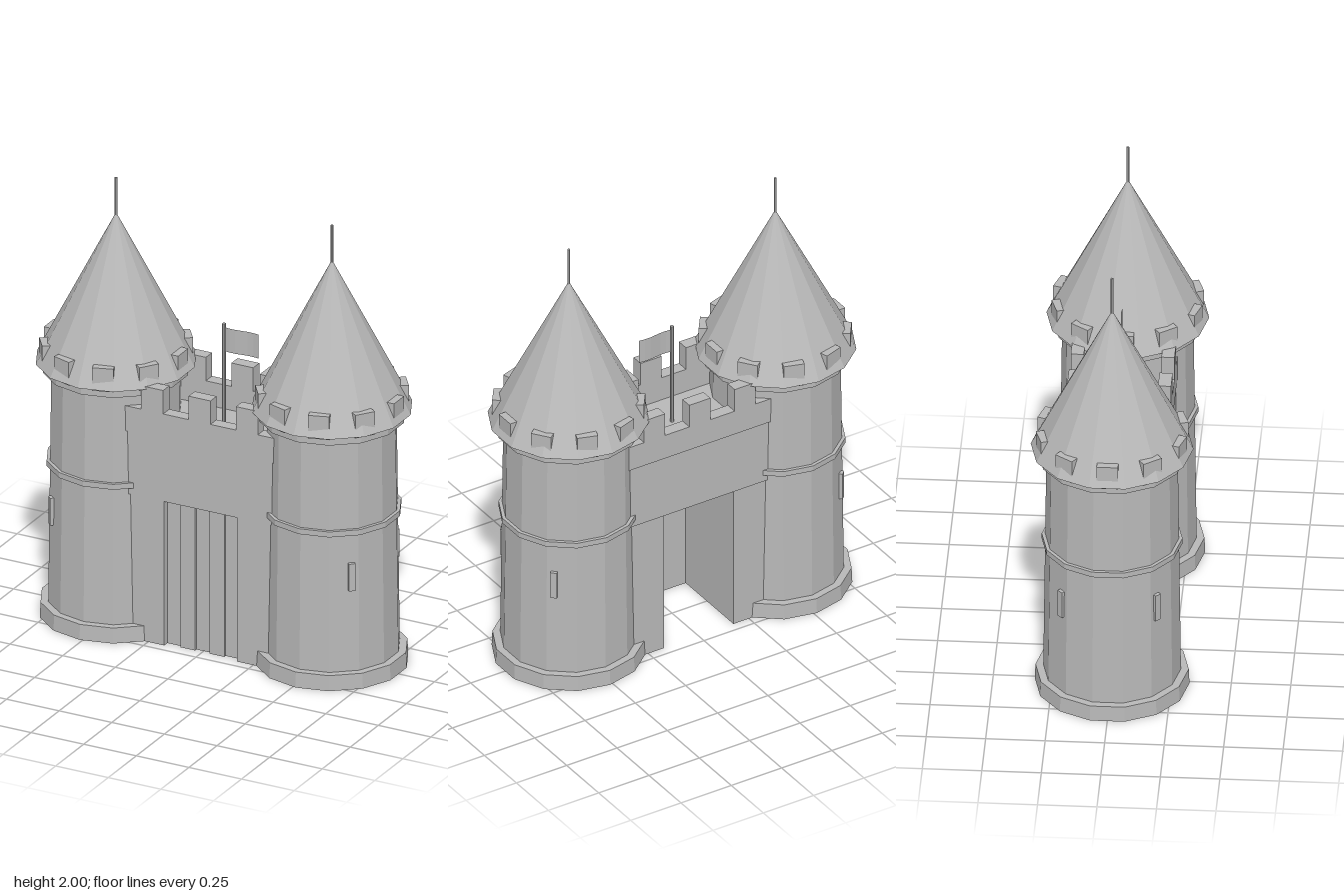
import * as THREE from 'three';

const stone = new THREE.MeshStandardMaterial({ color: 0xb8b8b8, flatShading: true });
stone.name = 'grey stone';
const cloth = stone.clone();
cloth.name = 'grey cloth';
cloth.side = THREE.DoubleSide;

const SIDES = 14;

function add(parent, name, geometry, x = 0, y = 0, z = 0, material = stone) {
  const mesh = new THREE.Mesh(geometry, material);
  mesh.name = name;
  mesh.position.set(x, y, z);
  parent.add(mesh);
  return mesh;
}

// Box given by its extents along each axis
function block(parent, name, x0, x1, y0, y1, z0, z1) {
  return add(parent, name, new THREE.BoxGeometry(x1 - x0, y1 - y0, z1 - z0),
    (x0 + x1) / 2, (y0 + y1) / 2, (z0 + z1) / 2);
}

// Round part standing between two heights
function drum(parent, name, rBottom, rTop, y0, y1, sides = SIDES) {
  return add(parent, name, new THREE.CylinderGeometry(rTop, rBottom, y1 - y0, sides), 0, (y0 + y1) / 2, 0);
}

function buildTower(side) {
  const tower = new THREE.Group();
  tower.name = side > 0 ? 'leftTower' : 'rightTower';
  tower.position.x = side * 0.513;

  drum(tower, 'towerBase', 0.325, 0.322, 0, 0.07);
  drum(tower, 'towerBody', 0.29, 0.276, 0, 1.14);
  drum(tower, 'middleBand', 0.296, 0.296, 0.695, 0.72);
  drum(tower, 'topBand', 0.312, 0.312, 1.125, 1.157);
  drum(tower, 'roof', 0.342, 0, 1.166, 1.84);
  drum(tower, 'spire', 0.006, 0.006, 1.82, 2, 6);

  // Ring of battlements poking through the roof edge
  for (let i = 0; i < 10; i++) {
    const a = (i * Math.PI) / 5;
    const merlon = add(tower, 'towerMerlon', new THREE.BoxGeometry(0.045, 0.106, 0.09),
      Math.cos(a) * 0.2965, 1.209, Math.sin(a) * 0.2965);
    merlon.rotation.y = -a;
  }

  // Arrow slits on the outer diagonals
  for (const front of [1, -1]) {
    const slit = add(tower, 'arrowSlit', new THREE.BoxGeometry(0.028, 0.125, 0.02),
      side * 0.2, 0.503, front * 0.2);
    slit.rotation.y = Math.atan2(side, front);
  }
  return tower;
}

function buildGatehouse() {
  const gate = new THREE.Group();
  gate.name = 'gatehouse';

  // Wall above the passage, and its two side piers
  block(gate, 'upperWall', -0.42, 0.42, 0.665, 0.96, -0.213, 0.213);
  for (const s of [1, -1]) {
    block(gate, 'gatePier', s > 0 ? 0.173 : -0.42, s > 0 ? 0.42 : -0.173, 0, 0.665, -0.208, 0.208);

    // Parapet with battlements, front and back
    const z0 = s > 0 ? 0.163 : -0.218;
    block(gate, 'parapet', -0.42, 0.42, 0.955, 1.07, z0, z0 + 0.055);
    for (const x of [-0.225, 0, 0.225]) {
      block(gate, 'wallMerlon', x - 0.052, x + 0.052, 1.07, 1.178, z0, z0 + 0.055);
    }
  }

  // Planked door near the front of the passage
  for (let i = 0; i < 5; i++) {
    const x = -0.173 + i * 0.0692;
    block(gate, 'doorPlank', x, x + 0.0692, 0, 0.665, 0.165, i % 2 ? 0.192 : 0.18);
  }
  return gate;
}

function buildFlag() {
  const flag = new THREE.Group();
  flag.name = 'flag';
  drum(flag, 'flagPole', 0.008, 0.008, 0.95, 1.437, 8);
  // Gently waving cloth
  const sheet = new THREE.PlaneGeometry(0.165, 0.11, 6, 1);
  const p = sheet.attributes.position;
  for (let i = 0; i < p.count; i++) {
    p.setZ(i, Math.sin((p.getX(i) + 0.0825) * 38) * 0.004);
  }
  sheet.computeVertexNormals();
  add(flag, 'flagCloth', sheet, 0.0825, 1.365, 0, cloth);
  return flag;
}

export function createModel() {
  const castle = new THREE.Group();
  castle.name = 'castleGate';
  castle.add(buildTower(1), buildTower(-1), buildGatehouse(), buildFlag());
  return castle;
}
